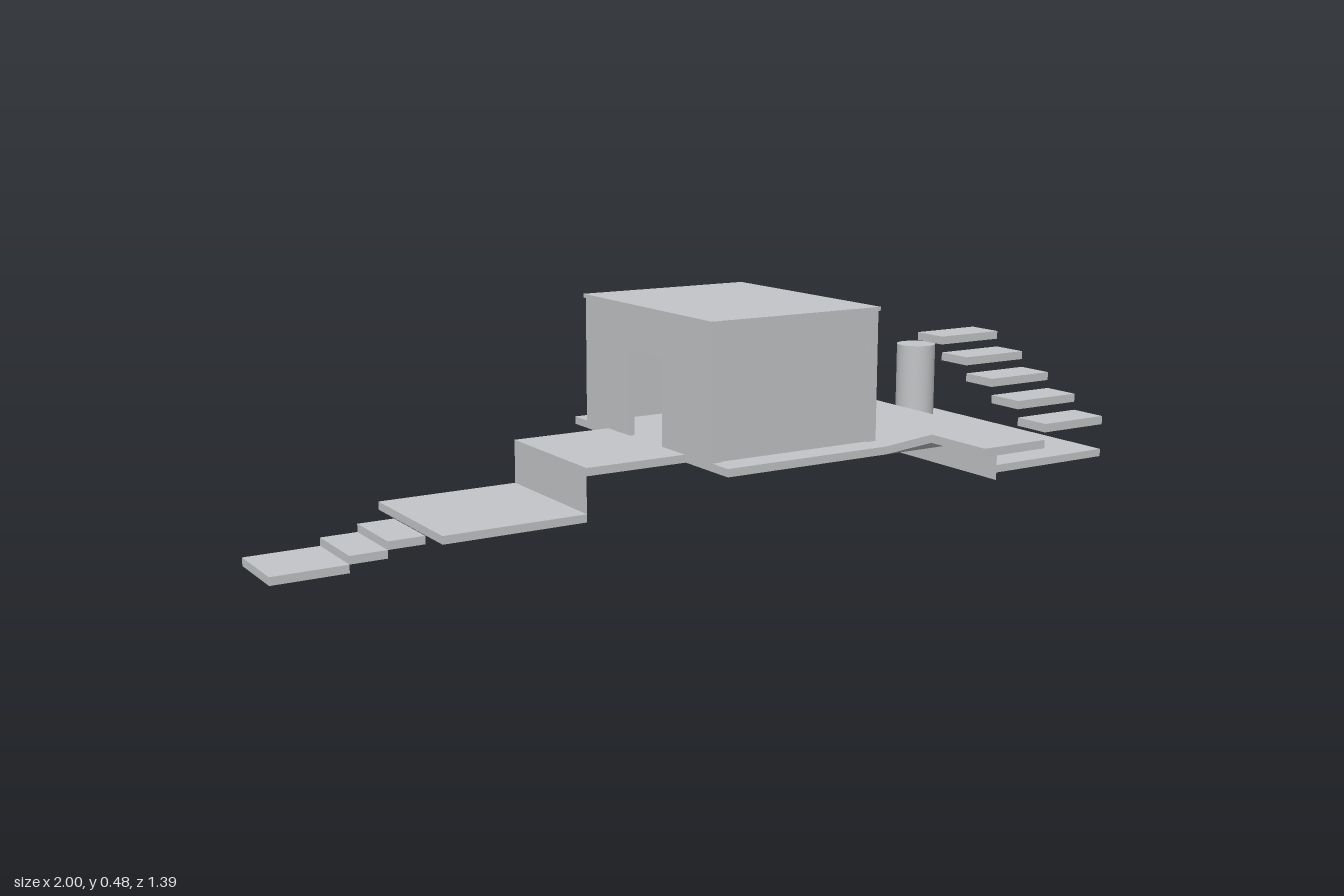
import * as THREE from 'three';

export function createModel() {
  const model = new THREE.Group();
  model.name = 'courtyardHouse';
  const grey = new THREE.MeshStandardMaterial({ color: 0xc4c5c8, side: THREE.DoubleSide });
  grey.name = 'plain grey';

  // box given by its limits on each axis
  const block = (name, [x0, x1], [y0, y1], [z0, z1], parent = model) => {
    const mesh = new THREE.Mesh(new THREE.BoxGeometry(x1 - x0, y1 - y0, z1 - z0), grey);
    mesh.position.set((x0 + x1) / 2, (y0 + y1) / 2, (z0 + z1) / 2);
    mesh.name = name;
    parent.add(mesh);
    return mesh;
  };
  // thin upright sheet facing along x
  const riser = (name, x, [y0, y1], [z0, z1]) => {
    const mesh = new THREE.Mesh(new THREE.PlaneGeometry(z1 - z0, y1 - y0), grey);
    mesh.rotation.y = Math.PI / 2;
    mesh.position.set(x, (y0 + y1) / 2, (z0 + z1) / 2);
    mesh.name = name;
    model.add(mesh);
  };

  const T = 0.018; // slab thickness

  // terraces, with the steps leading up to them
  block('mainDeck', [-0.088, 0.665], [0.155, 0.173], [-0.29, 0.375]);
  block('entryDeck', [-0.335, -0.088], [0.155, 0.173], [-0.125, 0.21]);
  block('lowerEntryDeck', [-0.667, -0.335], [0.055, 0.073], [-0.125, 0.21]);
  block('sideDeck', [0.665, 1], [0.073, 0.091], [-0.29, 0.375]);
  riser('entryRiser', -0.335, [0.055, 0.173], [-0.125, 0.21]);
  riser('sideRiser', 0.665, [0.055, 0.173], [-0.29, 0.375]);
  [[-1, -0.833], [-0.833, -0.75], [-0.75, -0.667]].forEach((x, i) =>
    block('entryStep', x, [i * T, (i + 1) * T], [-0.04, 0.125]));

  // column
  const column = new THREE.Mesh(new THREE.CylinderGeometry(0.05, 0.05, 0.2, 32), grey);
  column.position.set(0.867, 0.19, -0.165);
  column.name = 'column';
  model.add(column);

  // ramp and landing, one bent slab swept across x
  const profile = new THREE.Shape([
    [0.375, 0.155], [0.53, 0.21], [0.697, 0.21],
    [0.697, 0.228], [0.53, 0.228], [0.375, 0.173],
  ].map(([z, y]) => new THREE.Vector2(-z, y)));
  const rampGeo = new THREE.ExtrudeGeometry(profile, { depth: 0.167, bevelEnabled: false });
  const ramp = new THREE.Mesh(rampGeo, grey);
  ramp.rotation.y = Math.PI / 2;
  ramp.position.x = 0.332;
  ramp.name = 'rampAndLanding';
  model.add(ramp);

  // floating stair rising from the landing
  for (let i = 0; i < 5; i++) {
    const y = 0.244 + i * 0.0357, z = 0.697 - i * 0.084;
    block('floatingStep', [0.499, 0.665], [y, y + T], [z - 0.083, z]);
  }

  // stepping slabs behind the deck
  for (let i = 0; i < 3; i++) {
    const y = 0.155 + i * 0.0173, z = -0.348 - i * 0.134;
    block('backStep', [0.456, 0.54], [y, y + T], [z - 0.082, z]);
  }

  // house
  const house = new THREE.Group();
  house.name = 'house';
  model.add(house);
  const wallY = [0.173, 0.469];
  const X0 = -0.09, X1 = 0.352, Z0 = -0.228, Z1 = 0.315, P = 0.025, W = 0.012, IN = 0.006;
  block('roof', [-0.094, 0.355], [0.469, 0.478], [-0.232, 0.319], house);
  for (const x of [X0, X1 - P])
    for (const z of [Z0, Z1 - P])
      block('cornerPost', [x, x + P], wallY, [z, z + P], house);
  block('frontWall', [X0 + P, X1 - P], wallY, [Z1 - IN - W, Z1 - IN], house);
  block('backWall', [X0 + P, X1 - P], wallY, [Z0 + IN, Z0 + IN + W], house);
  // side wall with a full-height opening
  const sideX = [X1 - IN - W, X1 - IN];
  block('sideWall', sideX, wallY, [0.138, Z1 - P], house);
  block('sideWall', sideX, wallY, [Z0 + P, -0.051], house);
  // entry wall with a doorway
  const entryX = [X0, X0 + W];
  block('entryWall', entryX, wallY, [0.115, Z1 - P], house);
  block('entryWall', entryX, wallY, [Z0 + P, -0.026], house);
  block('doorLintel', entryX, [0.373, 0.469], [-0.026, 0.115], house);

  return model;
}
